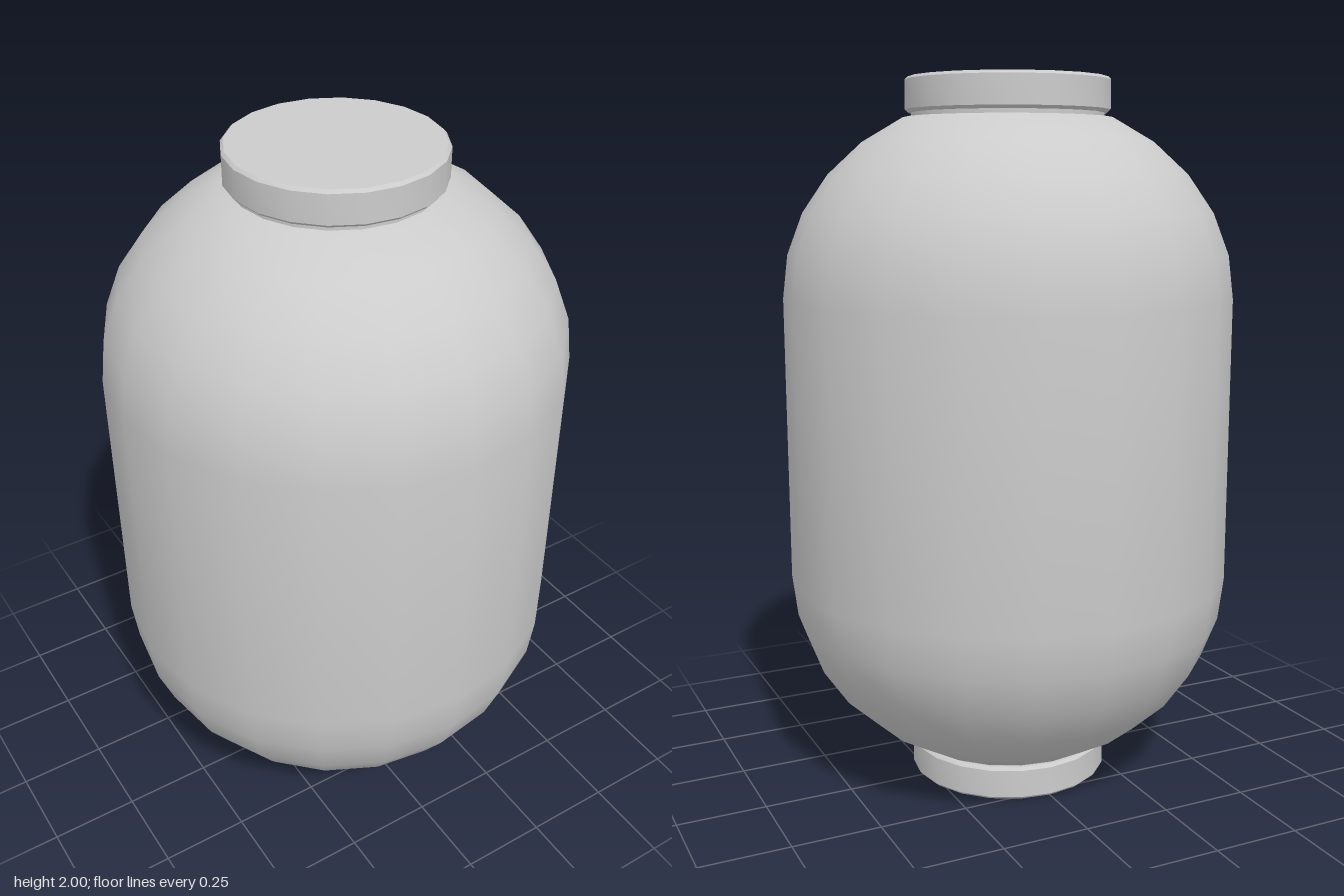
import * as THREE from 'three';
import { toCreasedNormals } from 'three/addons/utils/BufferGeometryUtils.js';

const SIDES = 20;

export function createModel() {
  const group = new THREE.Group();
  const material = new THREE.MeshStandardMaterial({ color: 0xcccccc });

  // Turns a bottom-to-top [radius, y] profile into a named mesh
  const turn = (name, profile) => {
    const points = profile.map(([r, y]) => new THREE.Vector2(r, y));
    const geometry = toCreasedNormals(new THREE.LatheGeometry(points, SIDES), 0.6);
    const mesh = new THREE.Mesh(geometry, material);
    mesh.name = name;
    group.add(mesh);
  };

  // Lantern body: straight wall with flattened domes at both ends
  const dome = [];
  for (let i = 0; i <= 5; i++) {
    const a = THREE.MathUtils.degToRad(i * 12.5);
    dome.push([0.63 * Math.cos(a), 0.4 + 0.555 * Math.sin(a)]);
  }
  dome.push([0, dome[5][1]]);
  const upper = dome.map(([r, h]) => [r, 1 + h]);
  const lower = dome.map(([r, h]) => [r, 1 - h]).reverse();
  turn('body', [...lower, ...upper]);

  // Short recessed necks and the bevelled discs closing each end
  const disc = (y0, y1, r, b) =>
    [[0, y0], [r - b, y0], [r, y0 + b], [r, y1 - b], [r - b, y1], [0, y1]];
  for (const [side, y, neckY] of [['bottom', 0, 0.09], ['top', 1.905, 1.885]]) {
    turn(side + 'Neck', [[0.268, neckY], [0.268, neckY + 0.025]]);
    turn(side + 'Cap', disc(y, y + 0.095, 0.285, 0.008));
  }

  return group;
}
